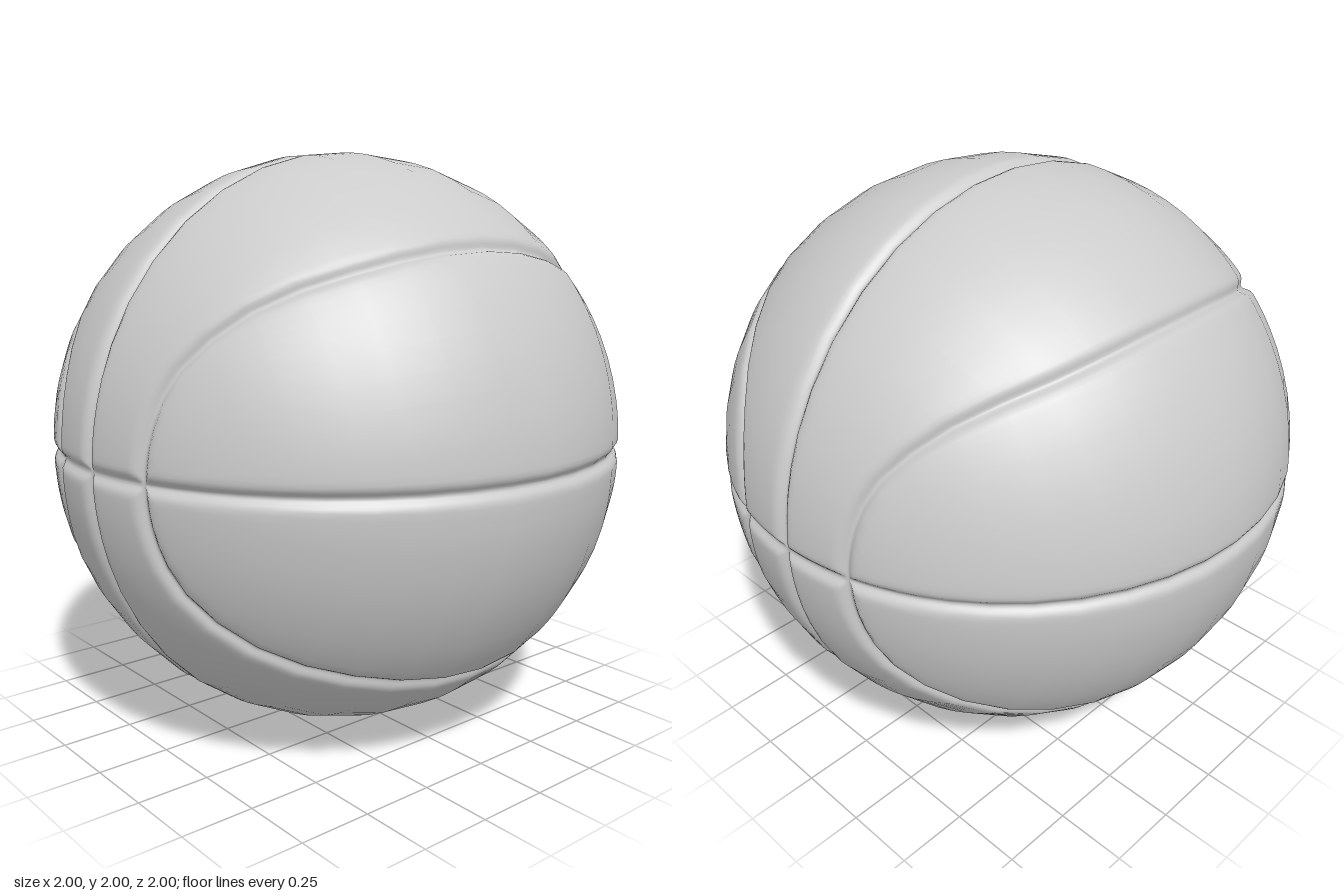
import * as THREE from 'three';
import { mergeVertices } from 'three/addons/utils/BufferGeometryUtils.js';

const GROOVE_DEPTH = 0.022, GROOVE_WIDTH = 0.021;

// One quarter of the curved seam on the front, from the centre line to the side tip
const quarter = [
  [0, 0.695, 0.72], [0.4, 0.64, 0.655], [0.73, 0.5, 0.46],
  [0.88, 0.33, 0.325], [0.945, 0.17, 0.277], [0.965, 0, 0.262],
].map((p) => new THREE.Vector3(...p).normalize());

// Mirror the quarter into a closed loop so the seam is smooth at both ends
function seamLoop() {
  const flip = (p, sx, sy) => new THREE.Vector3(p.x * sx, p.y * sy, p.z);
  const inner = quarter.slice(1, -1), back = [...inner].reverse();
  const top = quarter[0], tip = quarter[quarter.length - 1];
  const curve = new THREE.CatmullRomCurve3([
    top, ...inner, tip, ...back.map((p) => flip(p, 1, -1)),
    flip(top, 1, -1), ...inner.map((p) => flip(p, -1, -1)),
    flip(tip, -1, 1), ...back.map((p) => flip(p, -1, 1)),
  ], true);
  curve.arcLengthDivisions = 2000;
  return curve;
}

const loop = seamLoop();
function seam(t) {
  if (t === 0) return quarter[0].clone();
  if (t === 1) return quarter[quarter.length - 1].clone();
  return loop.getPointAt(t / 4).normalize();
}
const samples = Array.from({ length: 161 }, (_, i) => seam(i / 160));

// Great-circle interpolation
function slerp(a, b, f) {
  const angle = a.angleTo(b);
  if (angle < 1e-6) return a.clone();
  return a.clone().multiplyScalar(Math.sin((1 - f) * angle))
    .addScaledVector(b, Math.sin(f * angle)).normalize();
}

// Distance to the curved seam, measured to the segments between samples
const segment = new THREE.Line3(), nearest = new THREE.Vector3();
function seamDistance(p) {
  let best = Infinity;
  for (let i = 1; i < samples.length; i++) {
    segment.set(samples[i - 1], samples[i]).closestPointToPoint(p, true, nearest);
    best = Math.min(best, nearest.distanceTo(p));
  }
  return best;
}

// Press the grooves into the unit sphere
function pressed(p) {
  const d = Math.min(Math.abs(p.y), Math.abs(p.z), seamDistance(p));
  return p.multiplyScalar(1 - GROOVE_DEPTH * Math.exp(-((d / GROOVE_WIDTH) ** 2)));
}

// Columns run along the seams, rows run across the two panels; both crowd at grooves
const columns = [0, 0.11, 0.22, 0.33, 0.44, 0.55, 0.65, 0.74, 0.81, 0.86, 0.9,
  0.925, 0.945, 0.957, 0.967, 0.975, 0.982, 0.988, 0.994, 1];
const half = [0, 0.01, 0.02, 0.03, 0.045, 0.065, 0.1, 0.15, 0.2, 0.27, 0.38];
const across = [...half, 0.5, ...half.map((f) => 1 - f).reverse()];
const rows = [...across, ...across.slice(1).map((f) => f + 1)];

// One eighth of the ball: equator -> curved seam -> upright seam
function octant() {
  const tip = quarter[quarter.length - 1];
  return columns.map((t) => {
    const equator = slerp(new THREE.Vector3(0, 0, 1), tip, t);
    const curved = seam(t);
    const a = t * Math.PI / 2;
    const upright = new THREE.Vector3(Math.sin(a), t === 1 ? 0 : Math.cos(a), 0);
    return rows.map((v) => pressed(
      v <= 1 ? slerp(equator, curved, v) : slerp(curved, upright, v - 1)));
  });
}

function ballGeometry() {
  const grid = octant(), positions = [], indices = [];
  const n = rows.length;
  for (const sx of [1, -1]) for (const sy of [1, -1]) for (const sz of [1, -1]) {
    const start = positions.length / 3;
    for (const column of grid) {
      for (const p of column) positions.push(p.x * sx, p.y * sy, p.z * sz);
    }
    for (let i = 0; i < columns.length - 1; i++) {
      for (let j = 0; j < n - 1; j++) {
        const a = start + i * n + j, b = a + n, c = b + 1, d = a + 1;
        if (sx * sy * sz > 0) indices.push(a, b, c, a, c, d);
        else indices.push(a, c, b, a, d, c);
      }
    }
  }
  const geometry = new THREE.BufferGeometry();
  geometry.setAttribute('position', new THREE.Float32BufferAttribute(positions, 3));
  geometry.setIndex(indices);
  const welded = mergeVertices(geometry, 1e-5);
  welded.computeVertexNormals();
  return welded;
}

export function createModel() {
  const group = new THREE.Group();
  group.name = 'basketball';
  const ball = new THREE.Mesh(ballGeometry(), new THREE.MeshStandardMaterial({ color: 0xcccccc }));
  ball.name = 'groovedBall';
  ball.position.y = 1;
  group.add(ball);
  return group;
}
